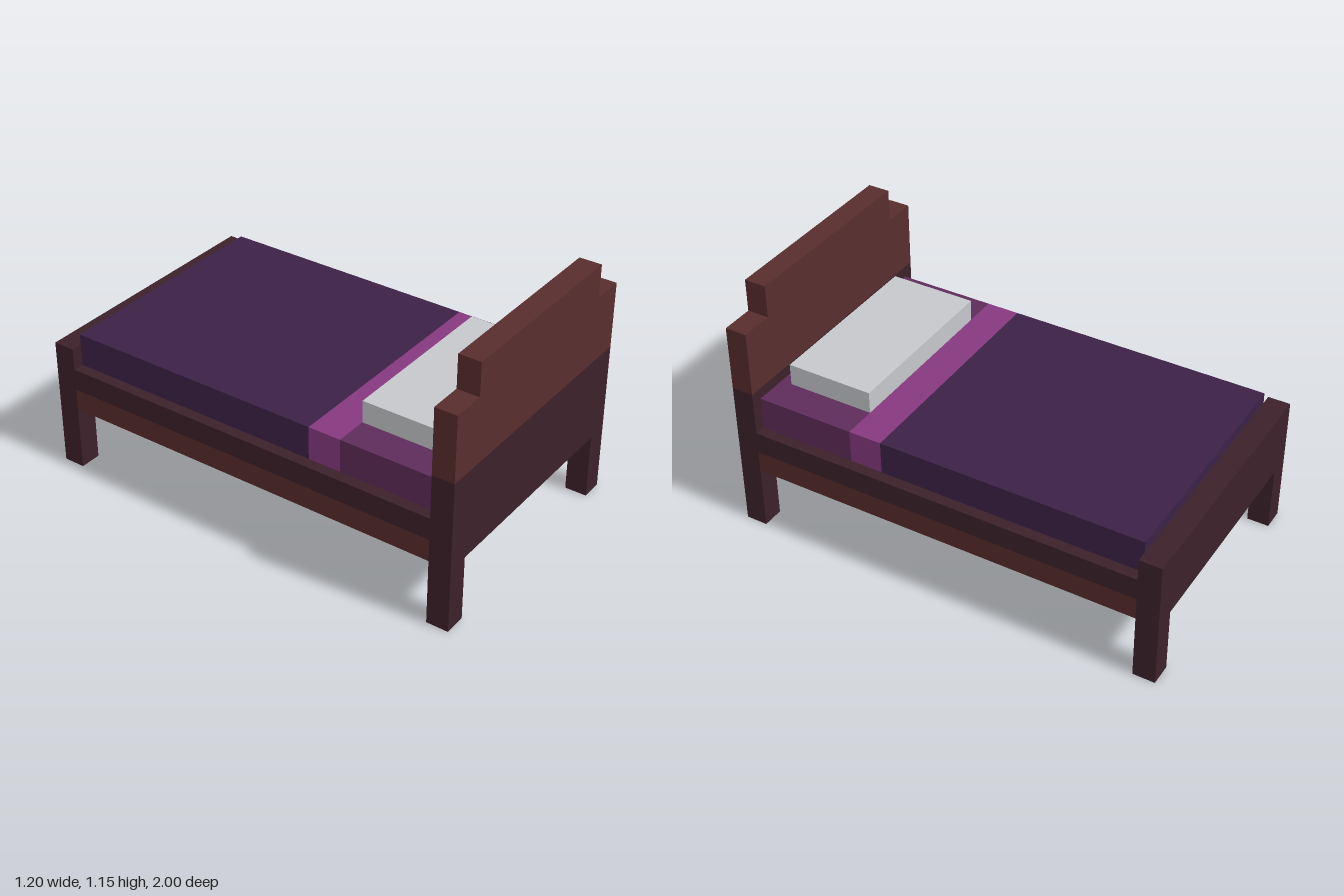
import * as THREE from 'three';

const mat = (name, color) => {
  const m = new THREE.MeshStandardMaterial({ color });
  m.name = name;
  return m;
};

export function createModel() {
  const bed = new THREE.Group();
  bed.name = 'bed';

  const darkWood = mat('darkWood', 0x3c212a);
  const redWood = mat('redWood', 0x582d2d);
  const slatWood = mat('slatWood', 0x6e2a1e);
  const black = mat('underside', 0x202020);
  const blanketPurple = mat('blanketPurple', 0x3c2247);
  const foldViolet = mat('foldViolet', 0x86397f);
  const sheetPlum = mat('sheetPlum', 0x5f2c5b);
  const pillowGrey = mat('pillowGrey', 0xc6c7cb);

  // Box given by its extents on each axis
  const box = (name, material, [x0, x1], [y0, y1], [z0, z1]) => {
    const mesh = new THREE.Mesh(new THREE.BoxGeometry(x1 - x0, y1 - y0, z1 - z0), material);
    mesh.position.set((x0 + x1) / 2, (y0 + y1) / 2, (z0 + z1) / 2);
    mesh.name = name;
    bed.add(mesh);
    return mesh;
  };

  // End board: outline in x and y, 0.1 thick
  const board = (name, material, points, z) => {
    const shape = new THREE.Shape(points.map(([x, y]) => new THREE.Vector2(x, y)));
    const mesh = new THREE.Mesh(
      new THREE.ExtrudeGeometry(shape, { depth: 0.1, bevelEnabled: false }), material);
    mesh.position.z = z;
    mesh.name = name;
    bed.add(mesh);
  };

  // Board with two legs, up to a given height
  const legged = (top) => [
    [-0.6, 0], [-0.5, 0], [-0.5, 0.3], [0.5, 0.3], [0.5, 0], [0.6, 0], [0.6, top], [-0.6, top],
  ];
  board('headboardLower', darkWood, legged(0.7), 0.9);
  board('headboardUpper', redWood, [
    [-0.6, 0.7], [0.6, 0.7], [0.6, 1], [0.45, 1], [0.45, 1.15], [-0.45, 1.15], [-0.45, 1], [-0.6, 1],
  ], 0.9);
  board('footboard', darkWood, legged(0.6), -1);

  // Side rails: dark upper half, red lower half with a dark underside
  const lowerRail = [redWood, redWood, darkWood, darkWood, redWood, redWood];
  for (const [side, x] of [['left', [0.5, 0.6]], ['right', [-0.6, -0.5]]]) {
    box(side + 'RailUpper', darkWood, x, [0.4, 0.5], [-0.9, 0.9]);
    box(side + 'RailLower', lowerRail, x, [0.3, 0.4], [-0.9, 0.9]);
  }

  // Base panel and slats underneath
  box('basePanel', black, [-0.5, 0.5], [0.305, 0.5], [-0.9, 0.9]);
  for (let i = 0; i < 6; i++) {
    const z = -0.75 + i * 0.3;
    box('slat', slatWood, [-0.5, 0.5], [0.3, 0.305], [z - 0.075, z + 0.075]);
  }

  // Bedding
  box('blanket', blanketPurple, [-0.55, 0.55], [0.5, 0.65], [-0.9, 0.3]);
  box('blanketFold', foldViolet, [-0.55, 0.55], [0.5, 0.65], [0.3, 0.45]);
  box('sheet', sheetPlum, [-0.55, 0.55], [0.5, 0.65], [0.45, 0.9]);
  box('pillow', pillowGrey, [-0.4, 0.4], [0.65, 0.75], [0.45, 0.85]);

  return bed;
}
